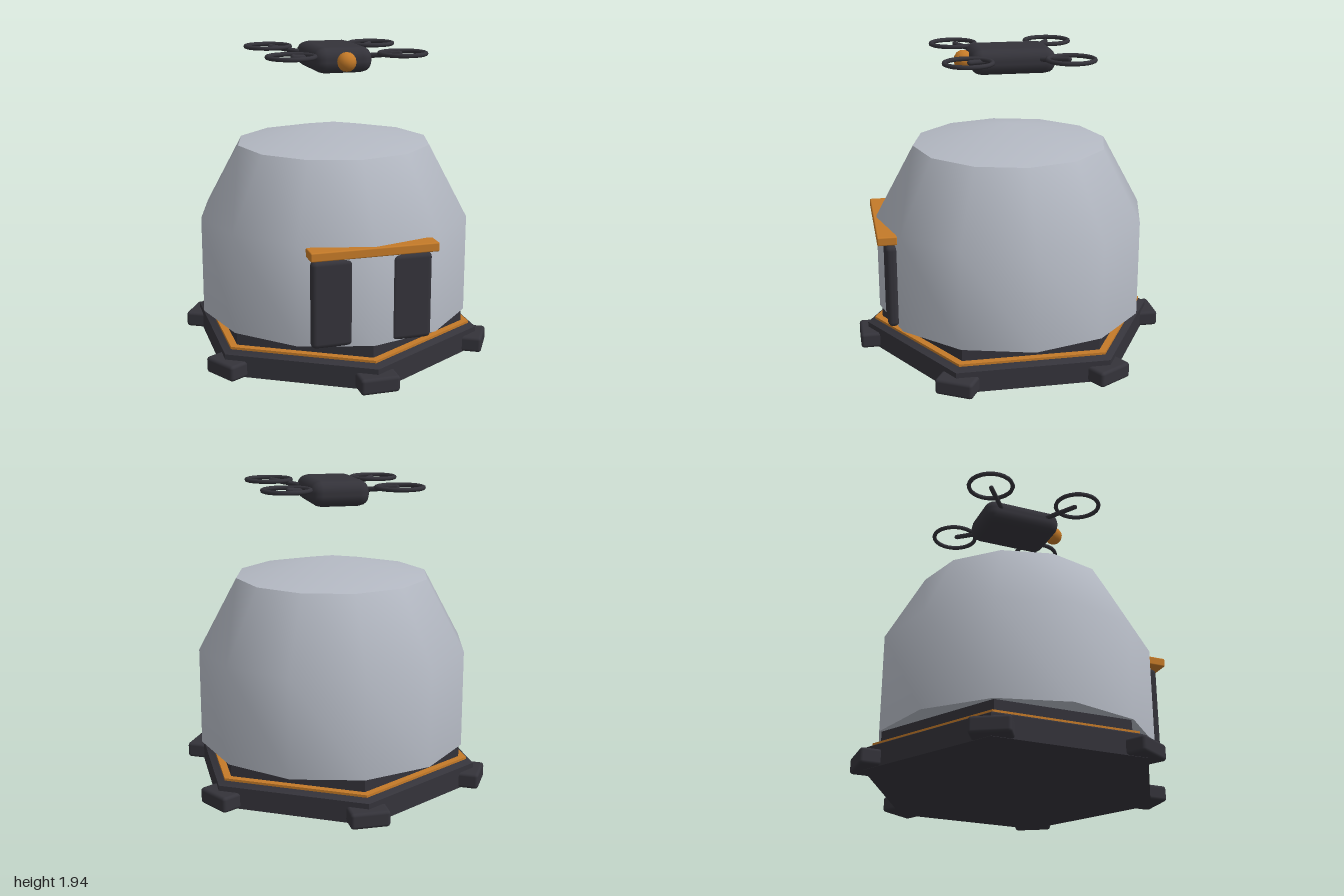
import * as THREE from 'three';
import { toCreasedNormals } from 'three/addons/utils/BufferGeometryUtils.js';
import { RoundedBoxGeometry } from 'three/addons/geometries/RoundedBoxGeometry.js';

function material(name, color) {
  const m = new THREE.MeshStandardMaterial({ color });
  m.name = name;
  return m;
}

export function createModel() {
  const model = new THREE.Group();
  model.name = 'domeStation';
  const shell = material('paleGrey', 0xb4b9c3);
  const dark = material('charcoal', 0x34333a);
  const orange = material('orange', 0xc47a28);

  function add(parent, name, geometry, mat, x = 0, y = 0, z = 0) {
    const mesh = new THREE.Mesh(geometry, mat);
    mesh.name = name;
    mesh.position.set(x, y, z);
    parent.add(mesh);
    return mesh;
  }

  // Hexagonal tier with corners on the z axis
  function hexTier(name, rBottom, rTop, y0, y1, mat) {
    const g = new THREE.CylinderGeometry(rTop, rBottom, y1 - y0, 6);
    add(model, name, toCreasedNormals(g, 0.5), mat, 0, (y0 + y1) / 2, 0);
  }
  hexTier('baseSlab', 0.947, 0.947, 0, 0.135, dark);
  hexTier('baseBevel', 0.947, 0.905, 0.135, 0.155, dark);
  hexTier('baseTrim', 0.9, 0.9, 0.155, 0.17, orange);
  hexTier('basePlinth', 0.85, 0.85, 0.17, 0.25, dark);

  // Feet at the six corners
  for (let i = 0; i < 6; i++) {
    const a = (i * Math.PI) / 3;
    const foot = add(model, 'foot', new RoundedBoxGeometry(0.24, 0.1, 0.24, 2, 0.02), dark,
      Math.sin(a) * 0.88, 0.052, Math.cos(a) * 0.88);
    foot.rotation.y = a;
  }

  // Twelve-sided dome with a shallow cap
  const profile = [[0, 0.25], [0.865, 0.25], [0.865, 0.87], [0.62, 1.32], [0, 1.44]]
    .map(([r, y]) => new THREE.Vector2(r, y));
  add(model, 'dome', toCreasedNormals(new THREE.LatheGeometry(profile, 12), 0.75), shell);

  // Entrance
  for (const s of [-1, 1]) {
    add(model, 'doorPanel', new RoundedBoxGeometry(0.255, 0.535, 0.07, 2, 0.03), dark,
      s * 0.243, 0.52, 0.8);
  }
  add(model, 'doorLintel', new RoundedBoxGeometry(0.78, 0.055, 0.12, 2, 0.008), orange, 0, 0.832, 0.825);

  // Hovering drone
  const drone = new THREE.Group();
  drone.name = 'drone';
  model.add(drone);
  add(drone, 'droneBody', new RoundedBoxGeometry(0.37, 0.16, 0.53, 2, 0.07), dark, 0, 1.857, 0);
  add(drone, 'droneSensor', new THREE.SphereGeometry(0.06, 12, 8), orange, 0, 1.855, 0.293);
  const up = new THREE.Vector3(0, 1, 0);
  for (const sx of [-1, 1]) {
    for (const sz of [-1, 1]) {
      const from = new THREE.Vector3(sx * 0.12, 1.865, sz * 0.12);
      const to = new THREE.Vector3(sx * 0.335, 1.897, sz * 0.3);
      const dir = to.clone().sub(from);
      const arm = add(drone, 'droneArm', new THREE.CapsuleGeometry(0.016, dir.length(), 3, 8), dark);
      arm.position.copy(from).add(to).multiplyScalar(0.5);
      arm.quaternion.setFromUnitVectors(up, dir.normalize());
      const ring = add(drone, 'rotorRing', new THREE.TorusGeometry(0.143, 0.014, 8, 24), dark,
        sx * 0.35, 1.898, sz * 0.31);
      ring.rotation.x = Math.PI / 2;
    }
  }
  return model;
}
